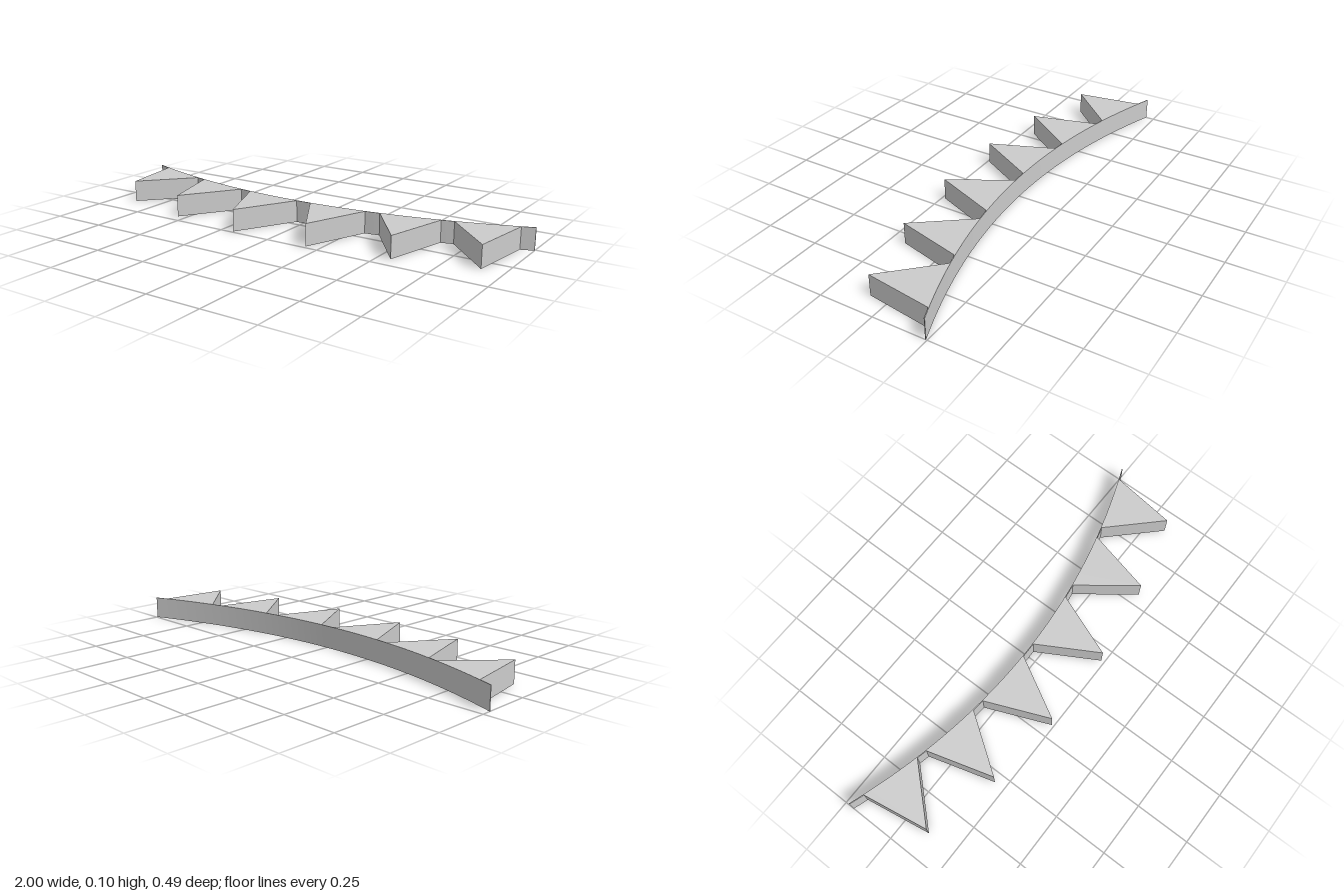
import * as THREE from 'three';
import { toCreasedNormals } from 'three/addons/utils/BufferGeometryUtils.js';

const HEIGHT = 0.1;
const CORD = 0.004; // cord thickness

// Sagging line that the cord and the pennant tops follow
const sag = (x) => -0.036 - 0.0175 * x - 0.19 * x * x;

// Points along the sagging line from x0 to x1, shifted in z
function sagPoints(x0, x1, steps, shift = 0) {
  const pts = [];
  for (let i = 0; i <= steps; i++) {
    const x = x0 + ((x1 - x0) * i) / steps;
    pts.push(new THREE.Vector2(x, sag(x) + shift));
  }
  return pts;
}

// Extrude an outline drawn in x,z upward from the ground
function slab(points, name, material) {
  let geo = new THREE.ExtrudeGeometry(new THREE.Shape(points), { depth: HEIGHT, bevelEnabled: false });
  geo.rotateX(Math.PI / 2).translate(0, HEIGHT, 0);
  geo = toCreasedNormals(geo, 0.5);
  const mesh = new THREE.Mesh(geo, material);
  mesh.name = name;
  return mesh;
}

export function createModel() {
  const group = new THREE.Group();
  group.name = 'bunting';
  const material = new THREE.MeshStandardMaterial({ color: 0xcccccc });

  // Thin curved cord
  const cord = [...sagPoints(-1, 1, 48, -CORD / 2), ...sagPoints(1, -1, 48, CORD / 2)];
  group.add(slab(cord, 'cord', material));

  // Pennants: left edge, right edge, tip x, tip z
  const pennants = [
    [-0.935, -0.675, -0.885, 0.115],
    [-0.63, -0.365, -0.543, 0.2],
    [-0.31, -0.037, -0.19, 0.24],
    [0.032, 0.303, 0.187, 0.235],
    [0.368, 0.633, 0.557, 0.18],
    [0.685, 0.945, 0.903, 0.085],
  ];
  pennants.forEach(([x0, x1, tipX, tipZ], i) => {
    const outline = [...sagPoints(x0, x1, 8), new THREE.Vector2(tipX, tipZ)];
    group.add(slab(outline, `pennant${i + 1}`, material));
  });

  return group;
}
